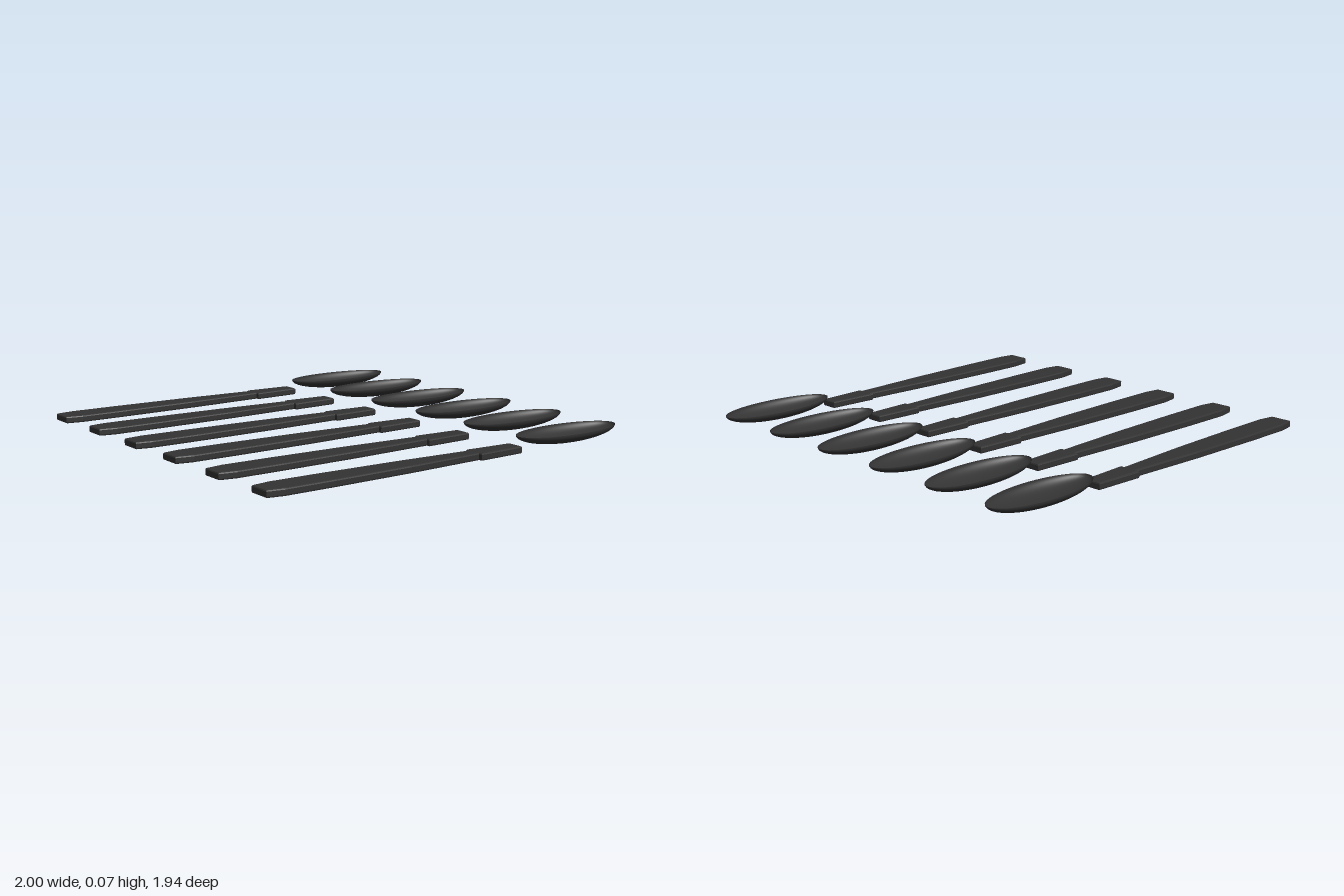
import * as THREE from 'three';

const material = new THREE.MeshStandardMaterial({ color: 0x333333 });
const shellMaterial = new THREE.MeshStandardMaterial({ color: 0x333333, side: THREE.DoubleSide });

// Half outline of the handle: [half width, z] from the butt end to the neck.
const OUTLINE = [
  [0.053, 0.972], [0.067, 0.889], [0.065, 0.65], [0.055, 0.26],
  [0.034, -0.13], [0.052, -0.13], [0.041, -0.373],
];

function handleGeometry() {
  const right = OUTLINE.map(([x, z]) => new THREE.Vector2(x, -z));
  const left = OUTLINE.map(([x, z]) => new THREE.Vector2(-x, -z)).reverse();
  const bevel = 0.007;
  const height = 0.034;
  const geometry = new THREE.ExtrudeGeometry(new THREE.Shape([...right, ...left]), {
    depth: height - 2 * bevel,
    bevelSize: bevel,
    bevelThickness: bevel,
    bevelOffset: -bevel,
    bevelSegments: 2,
  });
  // Lay the extrusion flat, thickness along y.
  geometry.rotateX(-Math.PI / 2);
  geometry.translate(0, bevel, 0);
  return geometry;
}

// Open lower half of an ellipsoid.
function bowlGeometry() {
  const geometry = new THREE.SphereGeometry(1, 48, 16, 0, Math.PI * 2, Math.PI / 2, Math.PI / 2);
  geometry.scale(0.112, 0.056, 0.291);
  geometry.translate(0, 0.066, -0.681);
  return geometry;
}

export function createModel() {
  const model = new THREE.Group();
  model.name = 'spoonSet';
  const handle = handleGeometry();
  const bowl = bowlGeometry();

  // Six identical spoons side by side.
  for (let i = 0; i < 6; i++) {
    const spoon = new THREE.Group();
    spoon.name = `spoon${i + 1}`;
    const handleMesh = new THREE.Mesh(handle, material);
    handleMesh.name = 'handle';
    const bowlMesh = new THREE.Mesh(bowl, shellMaterial);
    bowlMesh.name = 'bowl';
    spoon.add(handleMesh, bowlMesh);
    spoon.position.x = (i - 2.5) * 0.3552;
    model.add(spoon);
  }
  return model;
}
